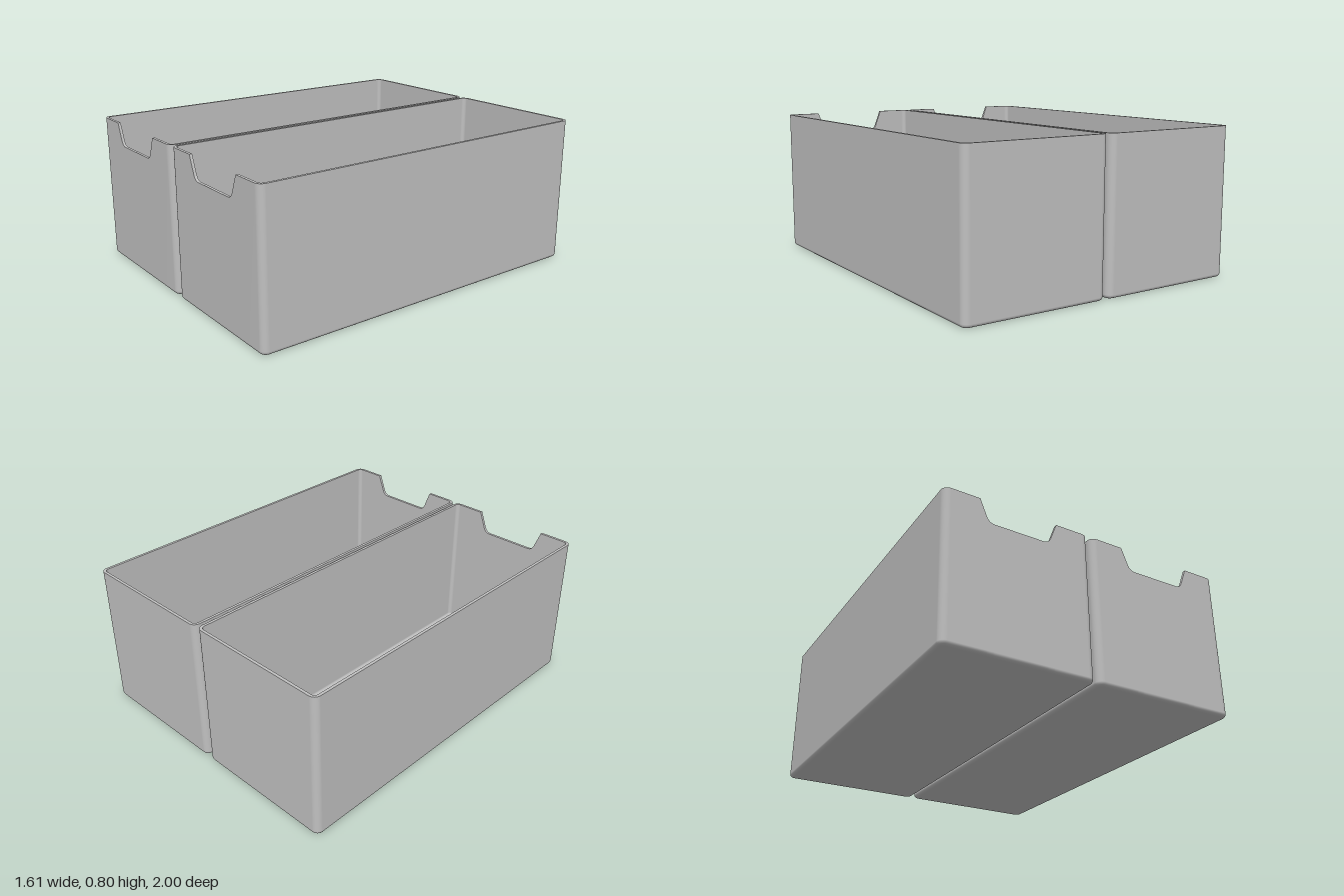
import * as THREE from 'three';

const WIDTH = 0.796, DEPTH = 2, HEIGHT = 0.8, GAP = 0.018;
const WALL = 0.015, CORNER = 0.036, OUTER_FILLET = 0.02, INNER_FILLET = 0.016;
const STEPS = 6;

// Finger notch outline from its centre outwards: [x offset, height]
function notchHalf() {
  const curve = new THREE.QuadraticBezierCurve(
    new THREE.Vector2(0.135, 0.68), new THREE.Vector2(0.163, 0.68), new THREE.Vector2(0.175, 0.71));
  return [...curve.getPoints(STEPS).map(p => [p.x, p.y]), [0.21, HEIGHT]];
}

// Rounded rectangle at a given inset; each point is [x, z, rim height]
function outline(inset) {
  const r = Math.max(CORNER - inset, 0.003);
  const cx = WIDTH / 2 - inset - r, cz = DEPTH / 2 - inset - r;
  const points = [];
  [[1, 1], [-1, 1], [-1, -1], [1, -1]].forEach(([sx, sz], k) => {
    for (let i = 0; i <= STEPS; i++) {
      const a = (k + i / STEPS) * Math.PI / 2;
      points.push([sx * cx + r * Math.cos(a), sz * cz + r * Math.sin(a), HEIGHT]);
    }
    if (k === 0) { // front wall, running from +x to -x
      const half = notchHalf(), z = cz + r;
      for (const [x, y] of [...half].reverse()) points.push([x, z, y]);
      for (const [x, y] of half) points.push([-x, z, y]);
    }
  });
  return points;
}

const level = (inset, y) => outline(inset).map(([x, z]) => [x, y, z]);
const rimLoop = inset => outline(inset).map(([x, z, top]) => [x, top, z]);
const centre = y => outline(0).map(() => [0, y, 0]);

// Skin consecutive closed loops
function skin(loops) {
  const n = loops[0].length, index = [];
  for (let j = 0; j < loops.length - 1; j++) {
    for (let i = 0; i < n; i++) {
      const a = j * n + i, b = j * n + (i + 1) % n;
      index.push(a, a + n, b, b, a + n, b + n);
    }
  }
  const geometry = new THREE.BufferGeometry();
  geometry.setAttribute('position', new THREE.Float32BufferAttribute(loops.flat(2), 3));
  geometry.setIndex(index);
  geometry.computeVertexNormals();
  return geometry;
}

// Quarter-round between floor and wall, listed from the floor upwards
function fillet(inset, radius, floorY) {
  const loops = [];
  for (let i = 0; i <= STEPS; i++) {
    const a = i / STEPS * Math.PI / 2;
    loops.push(level(inset + radius * (1 - Math.sin(a)), floorY + radius * (1 - Math.cos(a))));
  }
  return loops;
}

function createBin(name, material) {
  const bin = new THREE.Group();
  bin.name = name;
  const add = (part, geometry) => {
    const mesh = new THREE.Mesh(geometry, material);
    mesh.name = part;
    bin.add(mesh);
  };
  add('outerShell', skin([centre(0), ...fillet(0, OUTER_FILLET, 0), rimLoop(0)]));
  const rim = skin([rimLoop(0), rimLoop(WALL)]).toNonIndexed();
  rim.computeVertexNormals(); // flat, so the notch corners stay crisp
  add('rim', rim);
  add('innerShell', skin([rimLoop(WALL), ...fillet(WALL, INNER_FILLET, WALL).reverse(), centre(WALL)]));
  return bin;
}

export function createModel() {
  const model = new THREE.Group();
  model.name = 'storageBins';
  const grey = new THREE.MeshStandardMaterial({ color: 0xc0c0c0 });
  grey.name = 'grey plastic';
  for (const [name, side] of [['leftBin', 1], ['rightBin', -1]]) {
    const bin = createBin(name, grey);
    bin.position.x = side * (WIDTH + GAP) / 2;
    model.add(bin);
  }
  return model;
}
